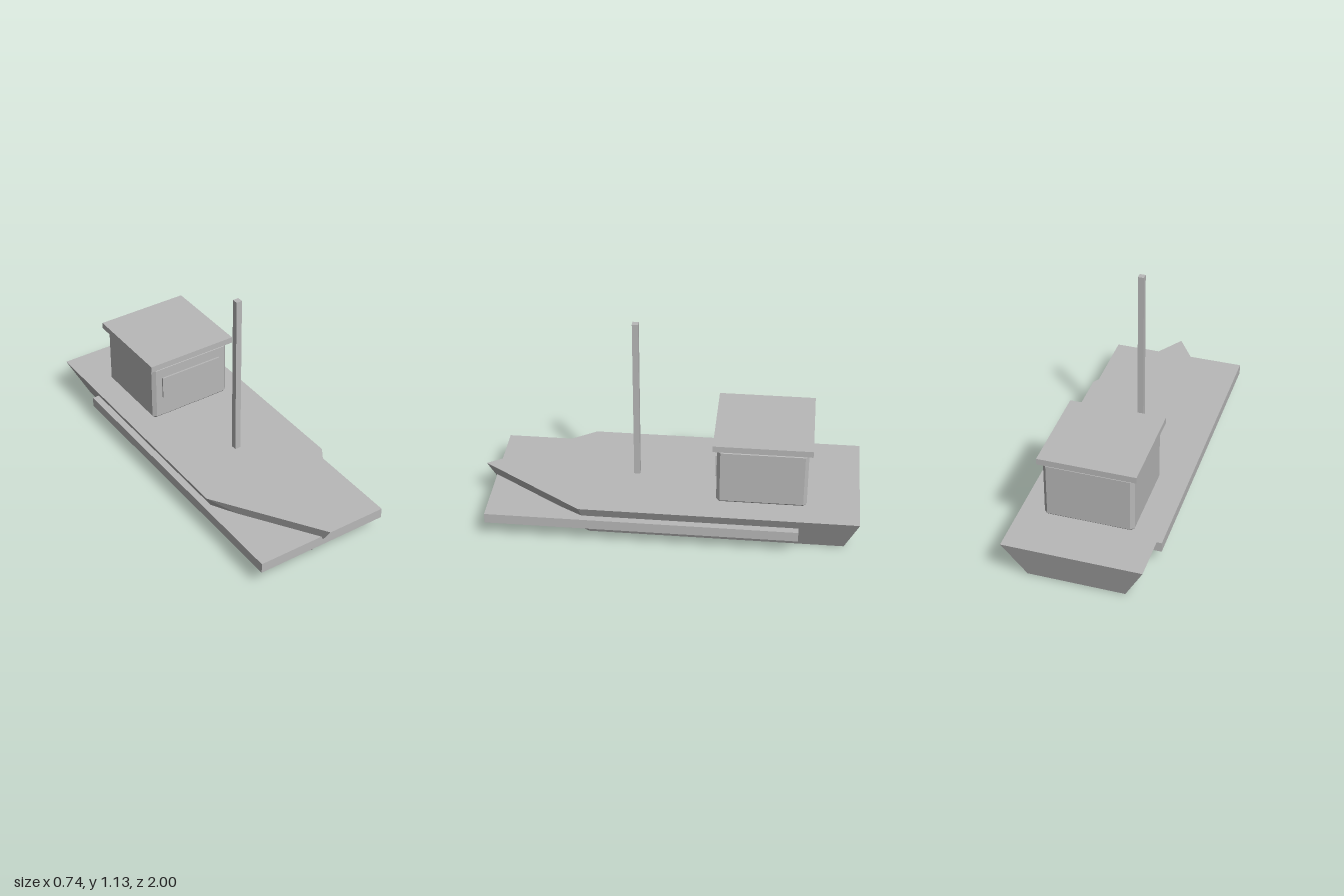
import * as THREE from 'three';
import { ConvexGeometry } from 'three/addons/geometries/ConvexGeometry.js';

const grey = new THREE.MeshStandardMaterial({ color: 0xb8b8b8 });
grey.name = 'light grey';

function add(group, name, geometry, x = 0, y = 0, z = 0) {
  const mesh = new THREE.Mesh(geometry, grey);
  mesh.name = name;
  mesh.position.set(x, y, z);
  group.add(mesh);
  return mesh;
}

// Box given by its lower and upper limits
function box(group, name, [x0, y0, z0], [x1, y1, z1]) {
  return add(group, name, new THREE.BoxGeometry(x1 - x0, y1 - y0, z1 - z0),
    (x0 + x1) / 2, (y0 + y1) / 2, (z0 + z1) / 2);
}

// Box with every edge cut at 45 degrees
function chamferedBox(w, h, d, c) {
  const points = [];
  for (const sx of [-1, 1]) for (const sy of [-1, 1]) for (const sz of [-1, 1]) {
    const x = w / 2, y = h / 2, z = d / 2;
    points.push(
      new THREE.Vector3(sx * x, sy * (y - c), sz * (z - c)),
      new THREE.Vector3(sx * (x - c), sy * y, sz * (z - c)),
      new THREE.Vector3(sx * (x - c), sy * (y - c), sz * z));
  }
  return new ConvexGeometry(points);
}

// Five-sided outline: square stern, pointed bow
function outline(halfWidth, stern, shoulder, bow, y) {
  return [[-halfWidth, stern], [halfWidth, stern], [halfWidth, shoulder],
    [0, bow], [-halfWidth, shoulder]].map(([x, z]) => new THREE.Vector3(x, y, z));
}

export function createModel() {
  const boat = new THREE.Group();
  boat.name = 'boat';

  // Hull tapering from deck to flat bottom
  add(boat, 'hull', new ConvexGeometry([
    ...outline(0.363, -1, 0.45, 1, 0.22),
    ...outline(0.255, -0.93, 0.41, 0.86, 0)]));

  // Fender slab running through the hull
  box(boat, 'fender', [-0.37, 0.102, -0.69], [0.37, 0.157, 0.945]);

  // Cabin with roof and front window
  add(boat, 'cabin', chamferedBox(0.47, 0.33, 0.47, 0.018), 0, 0.383, -0.49);
  box(boat, 'cabinRoof', [-0.255, 0.55, -0.745], [0.255, 0.584, -0.235]);
  box(boat, 'cabinWindow', [-0.18, 0.35, -0.255], [0.18, 0.475, -0.246]);

  // Mast
  box(boat, 'mast', [-0.016, 0.218, 0.166], [0.016, 1.13, 0.198]);

  return boat;
}
